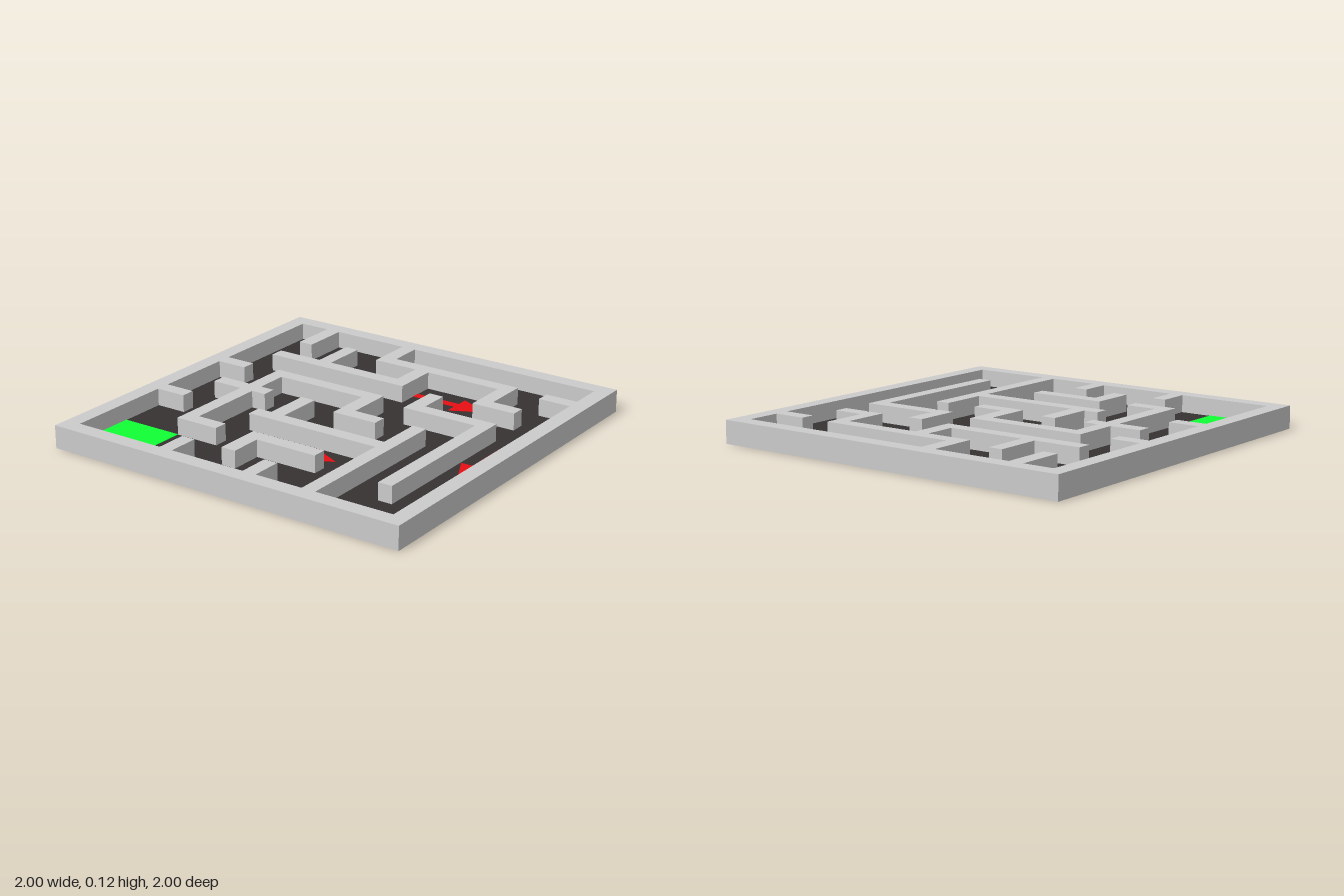
import * as THREE from 'three';

const HEIGHT = 0.12, FLOOR = 0.03, INNER = 0.915;
const grey = new THREE.MeshStandardMaterial({ color: 0xcccccc });
const dark = new THREE.MeshStandardMaterial({ color: 0x363232 });
const green = new THREE.MeshStandardMaterial({ color: 0x11ff35 });
const red = new THREE.MeshStandardMaterial({ color: 0xe80f14 });

// Box spanning x0..x1, z0..z1 and y0..y1
function block(name, [x0, x1, z0, z1], y0, y1, material) {
  const mesh = new THREE.Mesh(new THREE.BoxGeometry(x1 - x0, y1 - y0, z1 - z0), material);
  mesh.position.set((x0 + x1) / 2, (y0 + y1) / 2, (z0 + z1) / 2);
  mesh.name = name;
  return mesh;
}

function square(Type, r) {
  return new Type([[-r, -r], [r, -r], [r, r], [-r, r]].map(([x, y]) => new THREE.Vector2(x, y)));
}

// Inner walls as [x0, x1, z0, z1]
const WALLS = [
  // back
  [-0.33, -0.255, -INNER, -0.75], [0.17, 0.245, -INNER, -0.75],
  [-0.08, -0.005, -0.75, -0.58], [-0.08, -0.005, -0.505, -0.425],
  [-0.58, 0.245, -0.58, -0.505], [-0.58, -0.505, -0.505, -0.34],
  // centre
  [0.17, 0.245, -0.505, 0], [-0.08, 0.245, 0, 0.08], [-0.08, -0.005, 0.08, 0.25],
  // model's left side
  [0.415, 0.49, -0.75, 0], [0.415, 0.66, 0, 0.08], [0.66, 0.735, -0.17, 0.5],
  [0.66, INNER, -0.25, -0.17], [0.49, 0.735, -0.495, -0.42], [0.66, INNER, -0.75, -0.67],
  // model's right side
  [-INNER, -0.75, -0.41, -0.335], [-INNER, -0.75, 0.085, 0.16],
  [-0.75, -0.505, -0.17, -0.09], [-0.58, -0.505, -0.09, 0.25],
  [-0.33, -0.255, -0.33, 0.42], [-0.255, -0.005, -0.25, -0.17],
  // front
  [-INNER, -0.005, 0.42, 0.495], [-0.665, 0.245, 0.665, 0.74], [0.17, 0.245, 0.25, 0.665],
  [0.245, 0.41, 0.25, 0.33], [0.415, 0.735, 0.5, 0.575], [0.415, 0.49, 0.575, 0.74],
  [0.66, 0.735, 0.74, INNER],
];

// Arrows as [centre x, centre z, turn about y]; unturned they point to the front
const ARROWS = [
  [0.33, -0.31, 0], [-0.415, 0.04, 0], [0.54, 0.29, 0],
  [0.83, 0.29, Math.PI], [-0.043, 0.83, -Math.PI / 2],
];

export function createModel() {
  const model = new THREE.Group();
  model.name = 'mazeBoard';

  // Outer frame and base
  const outline = square(THREE.Shape, 1);
  outline.holes.push(square(THREE.Path, INNER));
  const frameGeometry = new THREE.ExtrudeGeometry(outline, { depth: HEIGHT, bevelEnabled: false });
  frameGeometry.rotateX(-Math.PI / 2);
  const frame = new THREE.Mesh(frameGeometry, grey);
  frame.name = 'outerFrame';
  const area = [-INNER, INNER, -INNER, INNER];
  model.add(frame, block('base', area, 0, FLOOR - 0.005, grey));
  model.add(block('floor', area, FLOOR - 0.005, FLOOR, dark));

  // Maze walls
  const walls = new THREE.Group();
  walls.name = 'mazeWalls';
  for (const w of WALLS) walls.add(block('wall', w, FLOOR, HEIGHT, grey));
  model.add(walls);

  // Goal square in the back corner
  model.add(block('goalSquare', [-INNER, -0.58, -INNER, -0.58], FLOOR, FLOOR + 0.002, green));

  // Direction arrows lying on the floor
  const points = [[-0.022, 0.21], [-0.022, -0.04], [-0.084, -0.04], [0, -0.21],
    [0.084, -0.04], [0.022, -0.04], [0.022, 0.21]].map(([x, y]) => new THREE.Vector2(x, y));
  const arrowGeometry = new THREE.ExtrudeGeometry(new THREE.Shape(points), { depth: 0.002, bevelEnabled: false });
  arrowGeometry.rotateX(-Math.PI / 2);
  for (const [x, z, turn] of ARROWS) {
    const arrow = new THREE.Mesh(arrowGeometry, red);
    arrow.position.set(x, FLOOR, z);
    arrow.rotation.y = turn;
    arrow.name = 'floorArrow';
    model.add(arrow);
  }
  return model;
}
